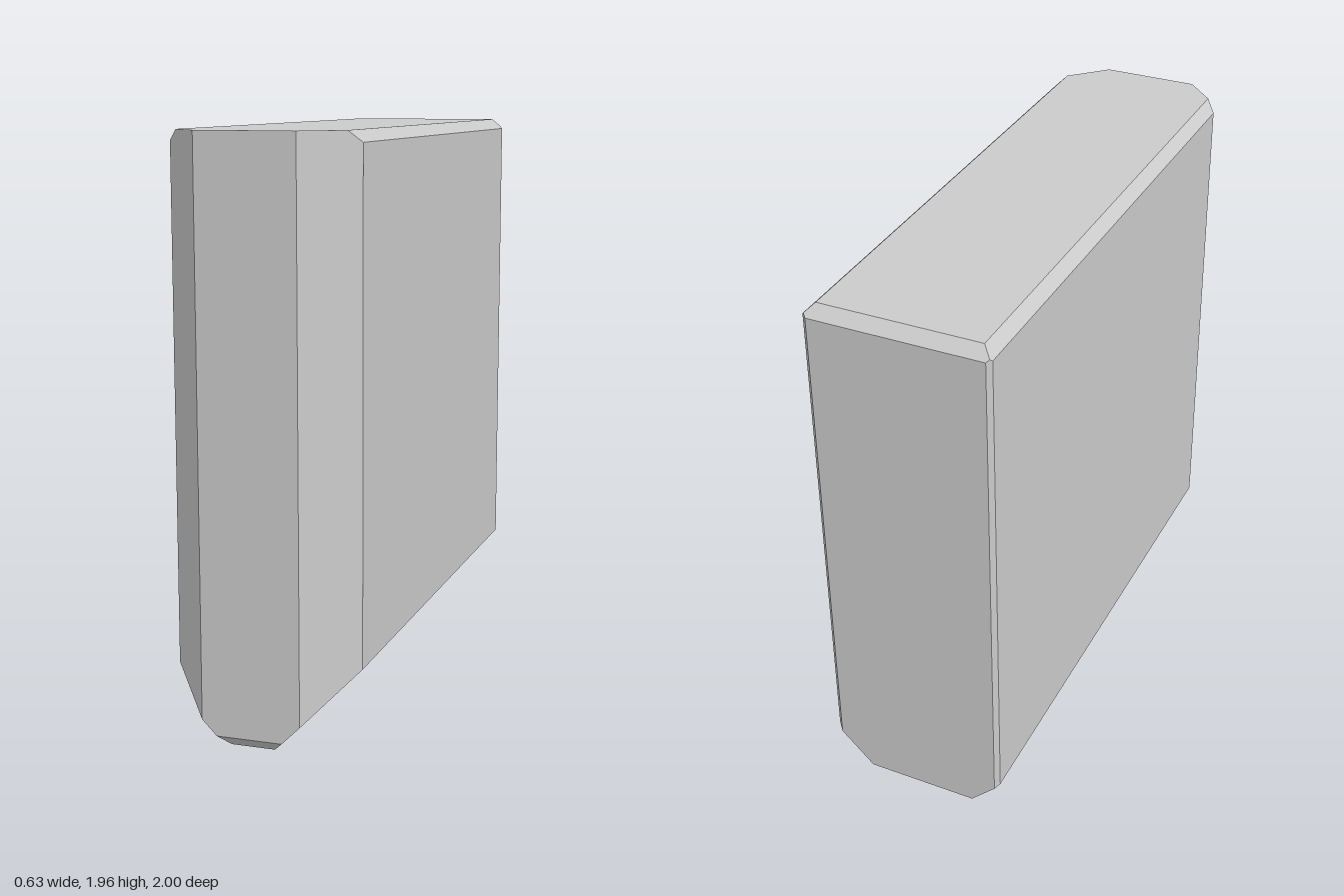
import * as THREE from 'three';
import { ConvexGeometry } from 'three/addons/geometries/ConvexGeometry.js';

// Flat faces and 45 degree chamfers, each as [nx, ny, nz, limit]: n . p <= limit
const planes = [
  [1, 0, 0, 0.313], [-1, 0, 0, 0.313],  // sides
  [0, 1, 0, 1.96], [0, -1, 0, 0],       // top, bottom
  [0, 0, 1, 1], [0, 0, -1, 1],          // front, back
  [1, 1, 0, 2.236], [-1, 1, 0, 2.237],  // top side edges
  [1, -1, 0, 0.057], [-1, -1, 0, 0.091], // bottom side edges
  [1, 0, 1, 1.155], [-1, 0, 1, 1.178],  // front upright edges
  [1, 0, -1, 1.293], [-1, 0, -1, 1.298], // back upright edges
  [0, 1, -1, 2.922],                    // top back edge
  [0, -1, 1, 0.963], [0, -1, -1, 0.88], // bottom front and back edges
].map(([x, y, z, limit]) => ({ n: new THREE.Vector3(x, y, z), limit }));

// Corners are the points where three planes meet inside all the others
function cornersOf(list) {
  const corners = [];
  for (let i = 0; i < list.length; i++)
    for (let j = i + 1; j < list.length; j++)
      for (let k = j + 1; k < list.length; k++) {
        const [a, b, c] = [list[i], list[j], list[k]];
        const bc = b.n.clone().cross(c.n);
        const det = a.n.dot(bc);
        if (Math.abs(det) < 1e-6) continue;
        const p = bc.multiplyScalar(a.limit)
          .addScaledVector(c.n.clone().cross(a.n), b.limit)
          .addScaledVector(a.n.clone().cross(b.n), c.limit)
          .divideScalar(det);
        const inside = list.every((q) => q.n.dot(p) <= q.limit + 1e-6);
        if (inside && !corners.some((v) => v.distanceTo(p) < 1e-5)) corners.push(p);
      }
  return corners;
}

export function createModel() {
  const group = new THREE.Group();
  group.name = 'chamferedSlab';
  const material = new THREE.MeshStandardMaterial({ color: 0xcccccc, flatShading: true });
  const slab = new THREE.Mesh(new ConvexGeometry(cornersOf(planes)), material);
  slab.name = 'slab';
  group.add(slab);
  return group;
}
